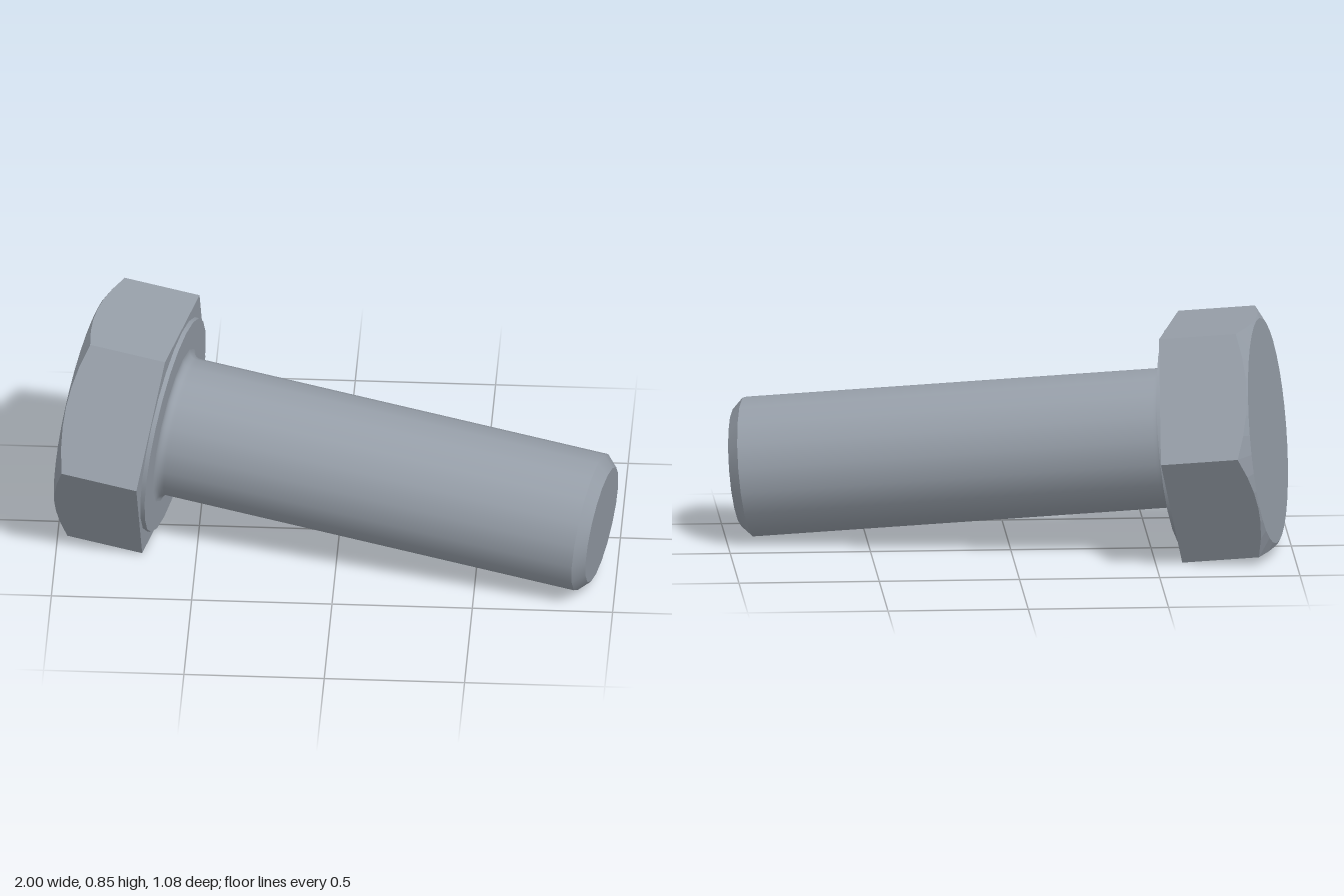
import * as THREE from 'three';

const HEX_R = 0.471;      // head corner radius
const HEAD_T = 0.317;     // head thickness
const FACE_R = 0.402;     // flat circle on the back of the head
const SHANK_R = 0.2515;
const WASHER_R = 0.391;
const WASHER_T = 0.016;
const FILLET = 0.03;
const BEVEL = 0.04;

// Hexagonal head with its corners trimmed by a shallow cone; underside at y = 0
function headGeometry() {
  const perSide = 6, n = perSide * 6;
  const apothem = HEX_R * Math.cos(Math.PI / 6);
  const at = (r, a, y) => [r * Math.cos(a), y, r * Math.sin(a)];
  const section = (i) => {
    const a = (i / n) * Math.PI * 2;
    const fromFlat = ((i % perSide) / perSide - 0.5) * (Math.PI / 3);
    const r = apothem / Math.cos(fromFlat);
    const rimY = -HEAD_T + (r - FACE_R) * Math.tan(Math.PI / 6);
    return { under: at(r, a, 0), rim: at(r, a, rimY), face: at(FACE_R, a, -HEAD_T) };
  };
  const pos = [];
  const tri = (...corners) => corners.forEach((c) => pos.push(...c));
  for (let i = 0; i < n; i++) {
    const p = section(i), q = section(i + 1);
    tri(p.rim, p.under, q.under);
    tri(p.rim, q.under, q.rim);
    tri(p.face, p.rim, q.rim);
    tri(p.face, q.rim, q.face);
    tri([0, -HEAD_T, 0], p.face, q.face);
    tri([0, 0, 0], q.under, p.under);
  }
  const geo = new THREE.BufferGeometry();
  geo.setAttribute('position', new THREE.Float32BufferAttribute(pos, 3));
  geo.computeVertexNormals();
  return geo;
}

export function createModel() {
  const steel = new THREE.MeshStandardMaterial({ color: 0x969ea8 });
  steel.name = 'steel grey';

  const bolt = new THREE.Group();
  bolt.name = 'hexBolt';
  const add = (name, geo) => {
    const mesh = new THREE.Mesh(geo, steel);
    mesh.name = name;
    bolt.add(mesh);
  };
  const turned = (name, points, sides) =>
    add(name, new THREE.LatheGeometry(points.map(([r, y]) => new THREE.Vector2(r, y)), sides));

  // Axis from the underside of the head to the tip of the shank
  const under = new THREE.Vector3(-0.603, 0.411, -0.022);
  const tip = new THREE.Vector3(0.951, 0.249, 0.308);
  const axis = tip.clone().sub(under);
  const length = axis.length();
  axis.normalize();

  add('head', headGeometry());

  // Raised bearing ring under the head
  turned('washerRim', [[WASHER_R, 0], [WASHER_R, WASHER_T]], 24);
  turned('washerFace', [[WASHER_R, WASHER_T], [SHANK_R, WASHER_T]], 24);

  // Shank, flowing out of the head through a small fillet
  const profile = [];
  for (let i = 0; i <= 6; i++) {
    const a = (i / 6) * Math.PI / 2;
    profile.push([SHANK_R + FILLET * (1 - Math.sin(a)), WASHER_T + FILLET * (1 - Math.cos(a))]);
  }
  profile.push([SHANK_R, WASHER_T + FILLET + 0.01], [SHANK_R, length - BEVEL]);
  turned('shank', profile, 18);

  // Bevelled tip
  turned('tipBevel', [[SHANK_R, length - BEVEL], [SHANK_R - BEVEL, length]], 18);
  turned('tipFace', [[SHANK_R - BEVEL, length], [0, length]], 18);

  // Lay the bolt down along its axis, one head corner pointing backward
  const corner = new THREE.Vector3(0.097, -0.003, -0.458);
  corner.addScaledVector(axis, -corner.dot(axis)).normalize();
  const side = new THREE.Vector3().crossVectors(corner, axis);
  bolt.quaternion.setFromRotationMatrix(new THREE.Matrix4().makeBasis(corner, axis, side));
  bolt.position.copy(under);

  const model = new THREE.Group();
  model.name = 'model';
  model.add(bolt);
  return model;
}
